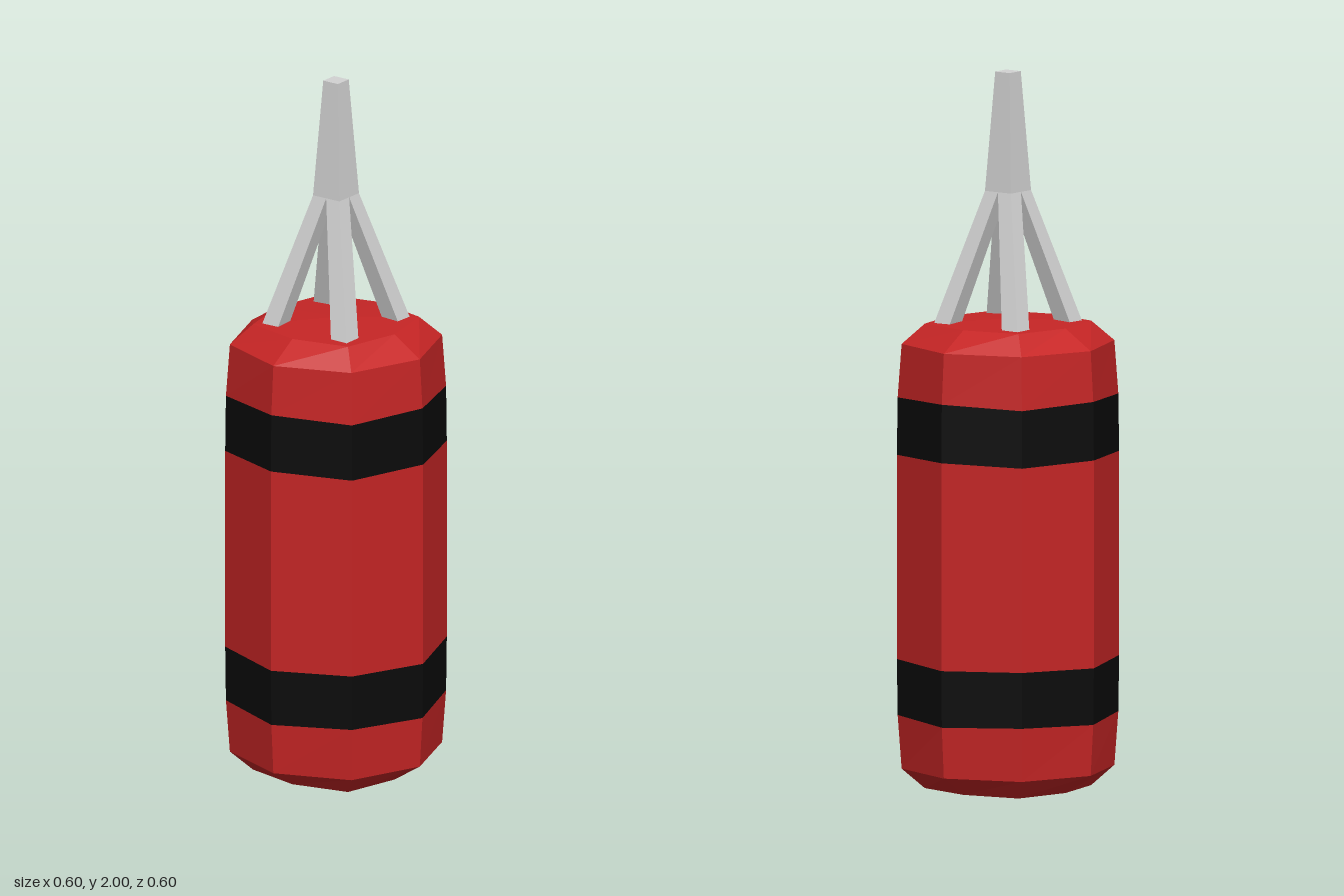
import * as THREE from 'three';

const red = new THREE.MeshStandardMaterial({ color: 0xc62525 });
red.name = 'red';
const black = new THREE.MeshStandardMaterial({ color: 0x0b0b0b });
black.name = 'black';
const grey = new THREE.MeshStandardMaterial({ color: 0xd2d2d2 });
grey.name = 'grey';

// Faceted skin through rings listed from bottom to top; each ring turns from +x to +z
function loft(rings) {
  const pos = [];
  const tri = (a, b, c) => {
    const same = (p, q) => p.distanceTo(q) < 1e-6;
    if (same(a, b) || same(b, c) || same(a, c)) return;
    for (const p of [a, b, c]) pos.push(p.x, p.y, p.z);
  };
  for (let r = 0; r < rings.length - 1; r++) {
    const low = rings[r], up = rings[r + 1], n = low.length;
    for (let i = 0; i < n; i++) {
      const j = (i + 1) % n;
      tri(low[i], up[i], low[j]);
      tri(low[j], up[i], up[j]);
    }
  }
  const g = new THREE.BufferGeometry();
  g.setAttribute('position', new THREE.Float32BufferAttribute(pos, 3));
  g.computeVertexNormals();
  return g;
}

// Octagon: radius and height on the axes, then on the diagonals
function octagon(rAxis, rDiag, y, yDiag = y) {
  return Array.from({ length: 8 }, (_, i) => {
    const a = (i * Math.PI) / 4, r = i % 2 ? rDiag : rAxis;
    return new THREE.Vector3(r * Math.cos(a), i % 2 ? yDiag : y, r * Math.sin(a));
  });
}

// Square with corners from (lo, lo) to (hi, hi)
function square(lo, hi, y) {
  return [[hi, lo], [hi, hi], [lo, hi], [lo, lo]].map(([x, z]) => new THREE.Vector3(x, y, z));
}

export function createModel() {
  const model = new THREE.Group();
  const add = (name, rings, material, parent = model) => {
    const mesh = new THREE.Mesh(loft(rings), material);
    mesh.name = name;
    parent.add(mesh);
    return mesh;
  };

  // Rings of the bag, shared where red meets black
  const bottom = octagon(0, 0, 0);
  const lowRim = octagon(0.2, 0.23, 0.018);
  const lowShoulder = octagon(0.287, 0.294, 0.073);
  const lowBandBottom = octagon(0.296, 0.305, 0.215, 0.222);
  const lowBandTop = octagon(0.298, 0.307, 0.372, 0.377);
  const highBandBottom = octagon(0.298, 0.307, 0.948, 0.943);
  const highBandTop = octagon(0.296, 0.305, 1.11, 1.102);
  const highShoulder = octagon(0.287, 0.294, 1.25);
  const highRim = octagon(0.2, 0.23, 1.305);
  const top = octagon(0, 0, 1.316);

  add('bagBottom', [bottom, lowRim, lowShoulder, lowBandBottom], red);
  add('lowerBand', [lowBandBottom, lowBandTop], black);
  add('bagMiddle', [lowBandTop, highBandBottom], red);
  add('upperBand', [highBandBottom, highBandTop], black);
  add('bagTop', [highBandTop, highShoulder, highRim, top], red);

  // Hanger: tapered post on four splayed straps
  const hanger = new THREE.Group();
  hanger.name = 'hanger';
  model.add(hanger);
  add('post', [square(0, 0, 1.67), square(-0.045, 0.045, 1.67),
    square(-0.025, 0.025, 2), square(0, 0, 2)], grey, hanger);
  for (let i = 0; i < 4; i++) {
    const strap = add('strap', [square(0.092, 0.146, 1.3), square(0, 0.045, 1.67)], grey, hanger);
    strap.rotation.y = (i * Math.PI) / 2;
  }
  return model;
}
